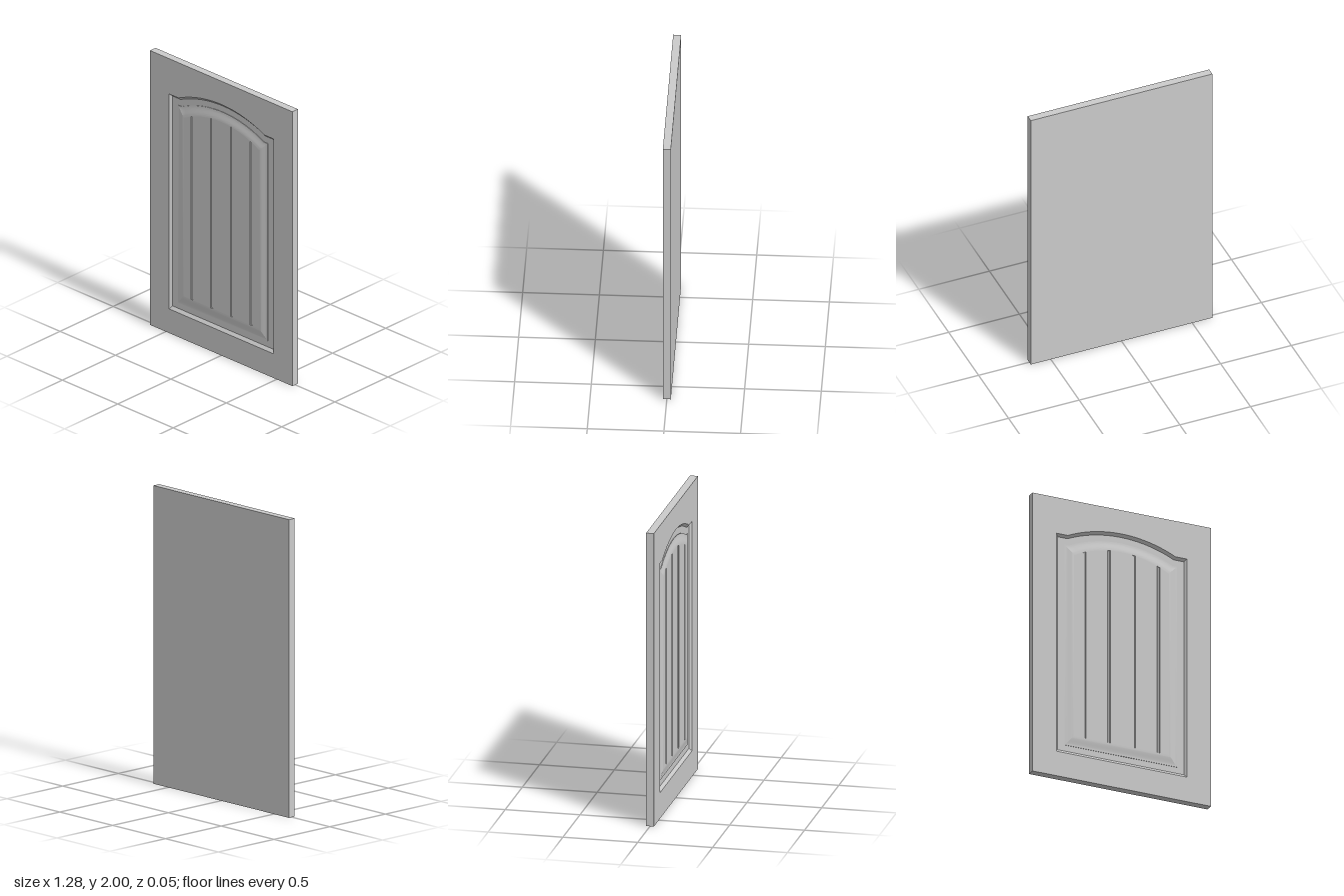
import * as THREE from 'three';
import { toCreasedNormals } from 'three/addons/utils/BufferGeometryUtils.js';

const W = 1.284, H = 2, HALF_D = 0.026, ARC_STEPS = 32;
const material = new THREE.MeshStandardMaterial({ color: 0xcccccc, side: THREE.DoubleSide });

// Cathedral outlines: half width, bottom, shoulder height, shoulder inner x, arch peak, depth
const opening = { w: 0.47, bottom: 0.176, shoulder: 1.743, sx: 0.387, peak: 1.83, z: HALF_D };
const channelOuter = { w: 0.455, bottom: 0.197, shoulder: 1.727, sx: 0.382, peak: 1.812, z: 0.009 };
const channelInner = { w: 0.405, bottom: 0.24, shoulder: 1.68, sx: 0.37, peak: 1.768, z: 0.009 };
const panelEdge = { ...channelInner, z: 0.012 };
const field = { w: 0.342, bottom: 0.312, shoulder: 1.615, sx: 0.334, peak: 1.7, z: 0.023 };

// Height of the top edge: flat shoulders with a circular arch between them
function topY(o, x) {
  if (Math.abs(x) >= o.sx) return o.shoulder;
  const h = o.peak - o.shoulder, r = (o.sx * o.sx + h * h) / (2 * h);
  return o.peak - r + Math.sqrt(r * r - x * x);
}

// Counter-clockwise loop of points
function loop(o) {
  const pts = [[-o.w, o.bottom], [o.w, o.bottom], [o.w, o.shoulder]];
  for (let i = 0; i <= ARC_STEPS; i++) {
    const x = o.sx * (1 - (2 * i) / ARC_STEPS);
    pts.push([x, topY(o, x)]);
  }
  pts.push([-o.w, o.shoulder]);
  return pts.map(([x, y]) => new THREE.Vector3(x, y, o.z));
}

// Joins equal-length rows of points into a creased surface
function skin(rows, closed) {
  const n = rows[0].length, index = [];
  for (let r = 0; r < rows.length - 1; r++) {
    for (let i = 0; i < (closed ? n : n - 1); i++) {
      const j = (i + 1) % n, a = r * n + i, b = r * n + j;
      index.push(a, b, b + n, a, b + n, a + n);
    }
  }
  const g = new THREE.BufferGeometry().setFromPoints(rows.flat());
  g.setIndex(index);
  return toCreasedNormals(g, 0.2);
}

function blend(a, b, t, tz) {
  const o = {};
  for (const k of Object.keys(a)) o[k] = a[k] + (b[k] - a[k]) * (k === 'z' ? tz : t);
  return o;
}

export function createModel() {
  const door = new THREE.Group();
  door.name = 'cabinetDoor';
  const add = (name, geometry) => {
    const mesh = new THREE.Mesh(geometry, material);
    mesh.name = name;
    door.add(mesh);
  };

  // Front frame with the arched opening
  const shape = new THREE.Shape([[-W / 2, 0], [W / 2, 0], [W / 2, H], [-W / 2, H]]
    .map(([x, y]) => new THREE.Vector2(x, y)));
  shape.holes.push(new THREE.Path(loop(opening).map(p => new THREE.Vector2(p.x, p.y))));
  const frame = new THREE.ExtrudeGeometry(shape, { depth: HALF_D, bevelEnabled: false });
  add('frame', frame);

  // Solid back half
  const back = new THREE.BoxGeometry(W, H, HALF_D);
  back.translate(0, H / 2, -HALF_D / 2);
  add('backBoard', back);

  // Bevelled inner edge, sunken channel and small step up to the panel
  add('bevelAndChannel', skin([opening, channelOuter, channelInner, panelEdge].map(loop), true));

  // Smooth ogee slope rising to the raised field
  const slope = [];
  for (let i = 0; i <= 10; i++) {
    const t = i / 10;
    slope.push(loop(blend(panelEdge, field, t, t * t * (3 - 2 * t))));
  }
  add('panelSlope', skin(slope, true));

  // Raised field with four vertical grooves, closed at both ends
  const grooves = [-0.267, -0.089, 0.089, 0.267], outer = 0.01, inner = 0.006, depth = 0.006;
  const columns = [[-field.w, 0], [field.w, 0]];
  for (let i = 0; i <= ARC_STEPS; i++) {
    const x = field.sx * (1 - (2 * i) / ARC_STEPS);
    if (grooves.every(g => Math.abs(x - g) > outer + 0.001)) columns.push([x, 0]);
  }
  for (const g of grooves) {
    columns.push([g - outer, 0], [g - inner, depth], [g + inner, depth], [g + outer, 0]);
  }
  columns.sort((a, b) => a[0] - b[0]);
  const row = (top, sunk) => columns.map(([x, d]) =>
    new THREE.Vector3(x, top ? topY(field, x) : field.bottom, field.z - (sunk ? d : 0)));
  add('groovedField', skin([row(false, false), row(false, true), row(true, true), row(true, false)], false));

  return door;
}
